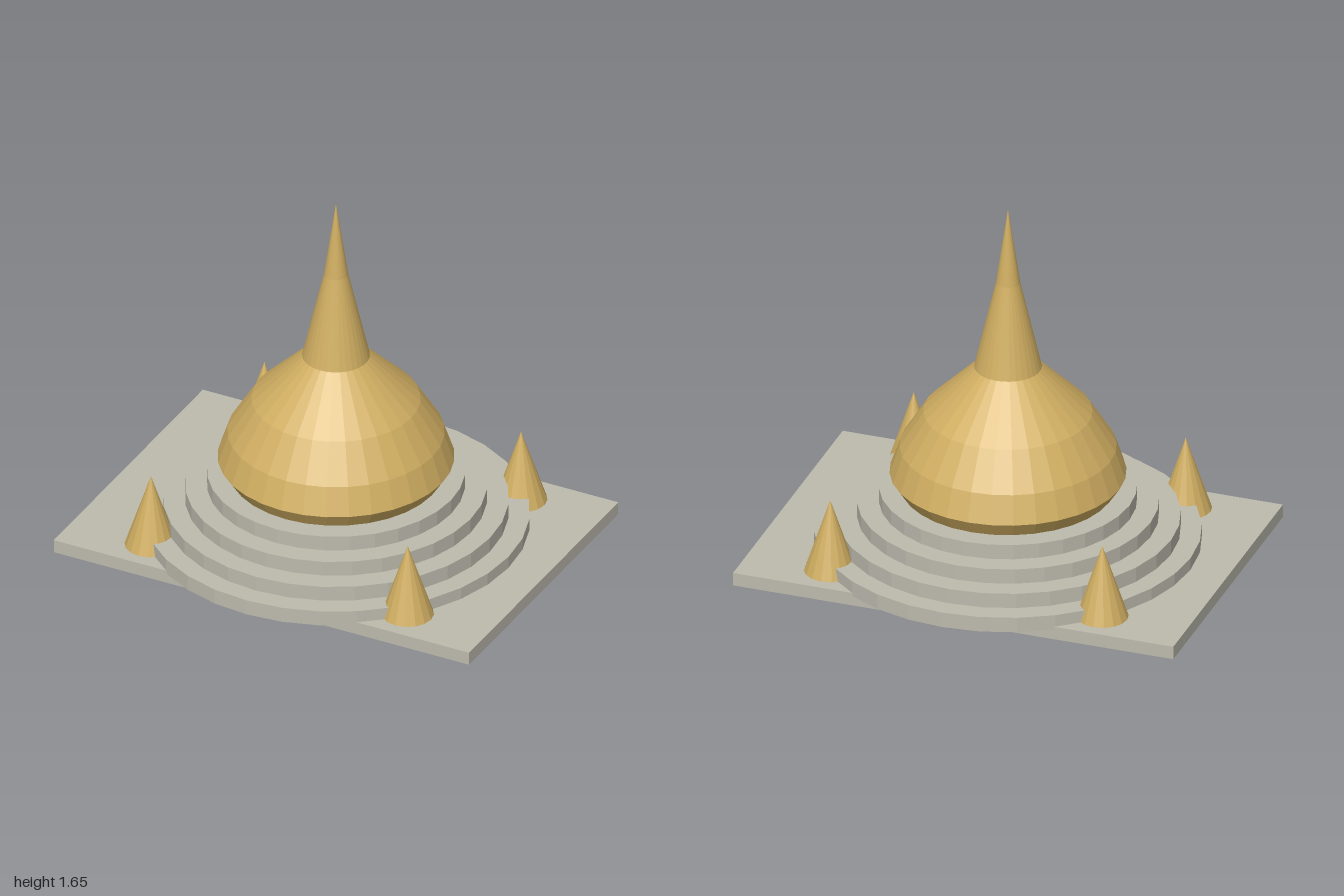
import * as THREE from 'three';

export function createModel() {
  const model = new THREE.Group();
  const gold = new THREE.MeshStandardMaterial({ color: 0xd0ae62, flatShading: true });
  gold.name = 'gold';
  const stone = new THREE.MeshStandardMaterial({ color: 0xbdbaad, flatShading: true });
  stone.name = 'stone';

  function add(name, geometry, material, x, y, z) {
    const mesh = new THREE.Mesh(geometry, material);
    mesh.name = name;
    mesh.position.set(x, y, z);
    model.add(mesh);
  }

  // Rectangular plinth
  add('plinth', new THREE.BoxGeometry(2, 0.06, 1.385), stone, 0, 0.03, 0);

  // Four stepped round terraces, the lowest overhanging the plinth
  const tierHeight = 0.07;
  [0.83, 0.74, 0.647, 0.553].forEach((radius, i) => {
    const geometry = new THREE.CylinderGeometry(radius, radius, tierHeight, 32);
    add('terrace' + (i + 1), geometry, stone, 0, 0.08 + i * 0.0685, 0);
  });

  // Bell dome running up into the spire
  const profile = [
    [0, 0.318], [0.46, 0.318], [0.507, 0.39], [0.465, 0.515], [0.362, 0.68],
    [0.145, 0.895], [0.052, 1.3], [0, 1.655],
  ].map(([r, y]) => new THREE.Vector2(r, y));
  add('domeAndSpire', new THREE.LatheGeometry(profile, 32), gold, 0, 0, 0);

  // Small corner spires
  const cone = new THREE.ConeGeometry(0.113, 0.338, 16);
  for (const x of [-0.618, 0.618]) {
    for (const z of [-0.527, 0.527]) add('cornerSpire', cone, gold, x, 0.229, z);
  }

  return model;
}
